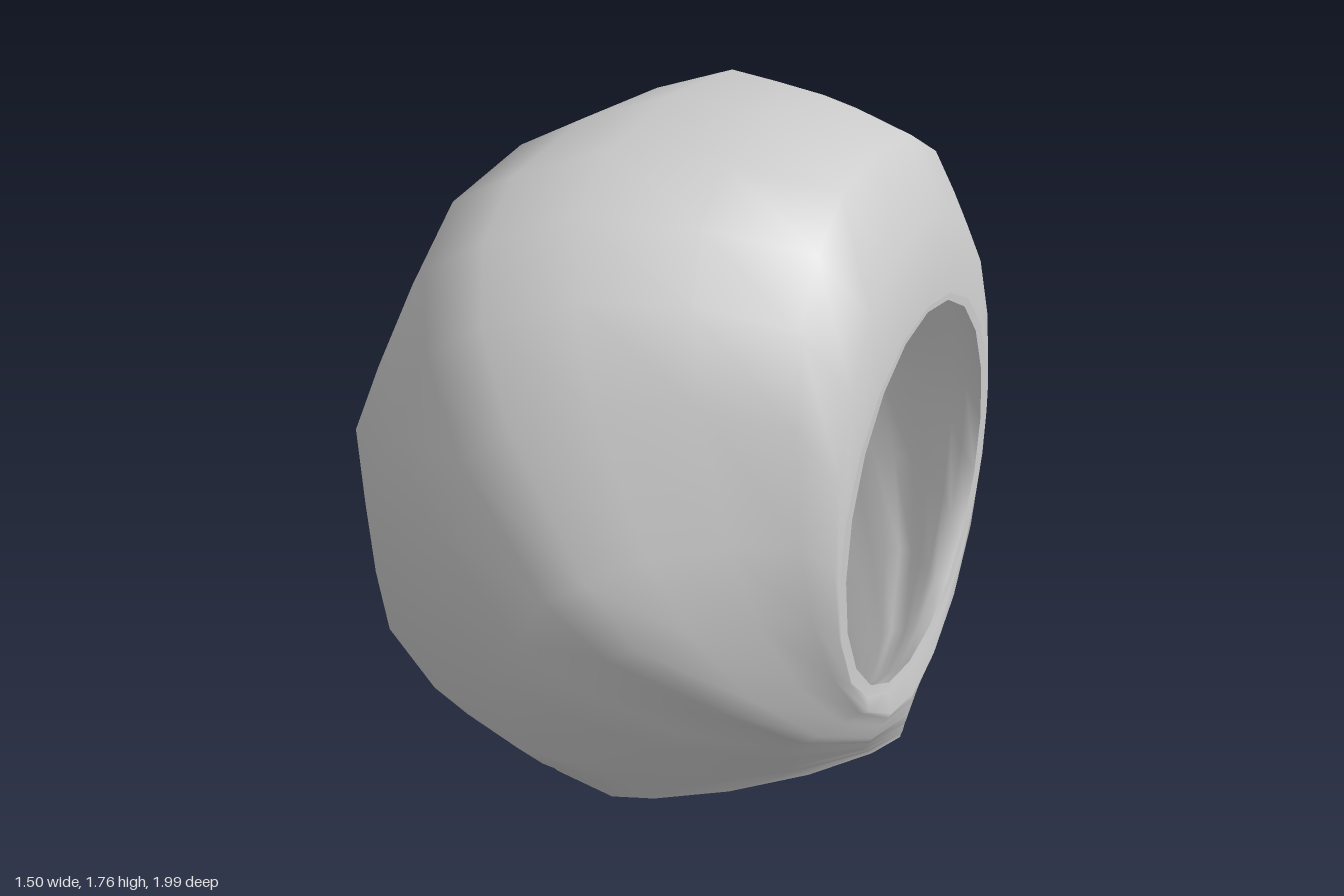
import * as THREE from 'three';

const SIDES = 20;

// Loops fanning from the face opening, over the crown and back, to the neck opening:
// [upper x, upper y, chin x, chin y, half width, upper squareness, chin squareness]
const SECTIONS = [
  [0.735, 1.29, 0.735, 0.25, 0.525, 2, 2],
  [0.735, 1.305, 0.738, 0.23, 0.575, 2, 2],
  [0.71, 1.53, 0.75, 0.15, 0.595, 2.1, 1.9],
  [0.58, 1.70, 0.747, 0.13, 0.66, 2.4, 1.8],
  [0.30, 1.75, 0.743, 0.11, 0.76, 2.7, 1.75],
  [0.00, 1.765, 0.738, 0.08, 0.885, 2.8, 1.7],
  [-0.25, 1.67, 0.735, 0.06, 0.965, 2.8, 1.6],
  [-0.44, 1.57, 0.732, 0.05, 0.995, 2.6, 1.5],
  [-0.60, 1.30, 0.73, 0.04, 0.985, 2.4, 1.5],
  [-0.73, 1.03, 0.728, 0.03, 0.965, 2.4, 1.45],
  [-0.755, 0.52, 0.726, 0.02, 0.86, 2.3, 1.4],
  [-0.68, 0.38, 0.724, 0.015, 0.8, 2.2, 1.4],
  [-0.54, 0.25, 0.722, 0.01, 0.73, 2.1, 1.35],
  [-0.44, 0.06, 0.72, 0.0, 0.64, 2, 1.35],
  [-0.34, 0.06, 0.5, 0.03, 0.5, 2.2, 2],
];
const LAST = SECTIONS.length - 1;
const WALL = 0.06;

// Superellipse loop in the tilted plane through its upper and chin points
function loop([tx, ty, bx, by, w, upper, lower]) {
  return Array.from({ length: SIDES }, (_, j) => {
    const a = (j / SIDES) * Math.PI * 2;
    const n = Math.cos(a) > 0 ? upper : lower;
    const round = (v) => Math.sign(v) * Math.abs(v) ** (2 / n);
    const c = round(Math.cos(a));
    return [
      (tx + bx) / 2 + ((tx - bx) / 2) * c,
      (ty + by) / 2 + ((ty - by) / 2) * c,
      w * round(Math.sin(a)),
    ];
  });
}

// Same section moved inward by the wall thickness
function insetSection([tx, ty, , , w, upper, lower], i) {
  const k = 1 - WALL / Math.hypot(tx, ty - 0.85);
  const t = i / LAST;
  const face = SECTIONS[0], neck = SECTIONS[LAST];
  return [
    tx * k, 0.85 + (ty - 0.85) * k,
    THREE.MathUtils.lerp(face[2], neck[2], t),
    THREE.MathUtils.lerp(face[3], neck[3], t),
    w - WALL, upper, lower,
  ];
}

// Skin through a row of sections
function loft(name, sections, material) {
  const index = [];
  for (let i = 0; i < sections.length - 1; i++) {
    for (let j = 0; j < SIDES; j++) {
      const k = (j + 1) % SIDES;
      const a = i * SIDES + j, b = i * SIDES + k;
      const c = a + SIDES, d = b + SIDES;
      index.push(a, c, b, b, c, d);
    }
  }
  const geometry = new THREE.BufferGeometry();
  const points = sections.flatMap(loop).flat();
  geometry.setAttribute('position', new THREE.Float32BufferAttribute(points, 3));
  geometry.setIndex(index);
  geometry.computeVertexNormals();
  const mesh = new THREE.Mesh(geometry, material);
  mesh.name = name;
  return mesh;
}

export function createModel() {
  const group = new THREE.Group();
  group.name = 'helmet';
  const material = new THREE.MeshStandardMaterial({ color: 0xcccccc, side: THREE.DoubleSide });

  const lining = [
    SECTIONS[0],
    ...SECTIONS.slice(2, LAST).map((s, i) => insetSection(s, i + 2)),
    SECTIONS[LAST],
  ].reverse();

  group.add(
    loft('faceRim', SECTIONS.slice(0, 2), material),
    loft('outerShell', SECTIONS.slice(1, LAST), material),
    loft('neckRim', SECTIONS.slice(LAST - 1), material),
    loft('innerShell', lining, material),
  );
  return group;
}
